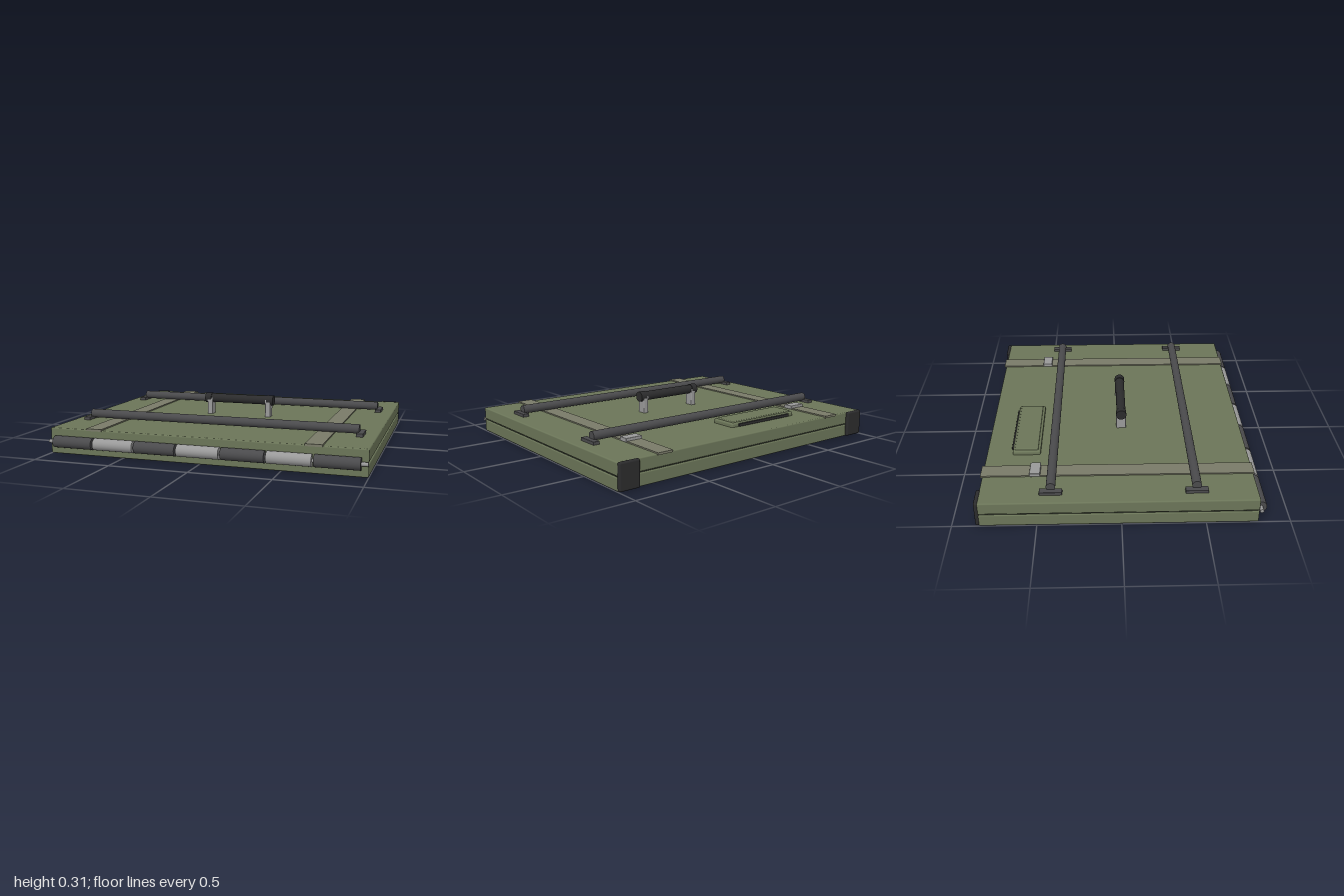
import * as THREE from 'three';
import { RoundedBoxGeometry } from 'three/addons/geometries/RoundedBoxGeometry.js';

const mat = (color) => new THREE.MeshStandardMaterial({ color });
const OLIVE = mat(0x6b7558), SEAM = mat(0x30352a), STRAP = mat(0x797a68);
const DARK = mat(0x4a4a4c), BLACK = mat(0x2b2b2c), METAL = mat(0x999999);

export function createModel() {
  const model = new THREE.Group();

  const add = (name, geometry, material, x, y, z) => {
    const mesh = new THREE.Mesh(geometry, material);
    mesh.name = name;
    mesh.position.set(x, y, z);
    model.add(mesh);
    return mesh;
  };
  // Boxes are given by their min and max on each axis; r rounds the edges
  const box = (name, material, [x0, x1], [y0, y1], [z0, z1], r = 0) => {
    const s = [x1 - x0, y1 - y0, z1 - z0];
    const g = r ? new RoundedBoxGeometry(...s, 3, r) : new THREE.BoxGeometry(...s);
    return add(name, g, material, (x0 + x1) / 2, (y0 + y1) / 2, (z0 + z1) / 2);
  };
  // Cylinder lying along x
  const rod = (name, material, r, length, x, y, z) =>
    add(name, new THREE.CylinderGeometry(r, r, length, 32).rotateZ(Math.PI / 2), material, x, y, z);

  // Two shells with a recessed seam between them
  box('lowerShell', OLIVE, [-1, 1], [0, 0.079], [-0.84, 0.81], 0.008);
  box('upperShell', OLIVE, [-1, 1], [0.085, 0.164], [-0.84, 0.81], 0.008);
  box('seam', SEAM, [-0.993, 0.993], [0.06, 0.1], [-0.833, 0.803]);

  // Hinge pin with alternating knuckles
  rod('hingePin', METAL, 0.012, 2, 0, 0.08, 0.823);
  for (let i = -3; i <= 3; i++) {
    rod('hingeKnuckle', i % 2 ? DARK : METAL, 0.037, 0.264, i * 0.276, 0.08, 0.823);
  }

  // Back corner guards
  for (const s of [-1, 1]) {
    box('cornerGuard', BLACK, s < 0 ? [-1, -0.865] : [0.865, 1], [0.002, 0.166], [-0.86, -0.832], 0.011);
  }

  // Flat straps with buckles
  for (const x of [-0.694, 0.688]) {
    box('strap', STRAP, [x - 0.052, x + 0.052], [0.158, 0.172], [-0.85, 0.815]);
    box('buckle', METAL, [x - 0.057, x + 0.057], [0.165, 0.19], [-0.553, -0.488], 0.004);
  }

  // Long tie-down bars on mounting plates
  for (const z of [-0.416, 0.446]) {
    rod('tieBar', DARK, 0.028, 1.79, -0.003, 0.2, z);
    for (const x of [-0.907, 0.901]) {
      box('barPlate', DARK, [x - 0.021, x + 0.021], [0.16, 0.184], [z - 0.068, z + 0.068], 0.003);
    }
  }

  // Carry handle: round grip on two posts with rounded tops
  rod('handleGrip', BLACK, 0.03, 0.48, 0, 0.274, 0.017);
  for (const x of [-0.207, 0.207]) {
    box('handlePost', METAL, [x - 0.018, x + 0.018], [0.16, 0.268], [-0.015, 0.049], 0.006);
    rod('handlePostCap', METAL, 0.032, 0.036, x, 0.266, 0.017);
  }
  for (const x of [-0.22, 0.22]) rod('gripEnd', BLACK, 0.034, 0.044, x, 0.274, 0.017);

  // Low pocket with a raised lid and a dark pull along its back edge
  box('pocket', OLIVE, [-0.52, 0.03], [0.155, 0.191], [-0.675, -0.5], 0.012);
  box('pocketLid', OLIVE, [-0.505, 0.015], [0.175, 0.198], [-0.663, -0.515], 0.007);
  box('pocketPull', BLACK, [-0.468, -0.022], [0.165, 0.184], [-0.684, -0.668], 0.003);

  return model;
}
